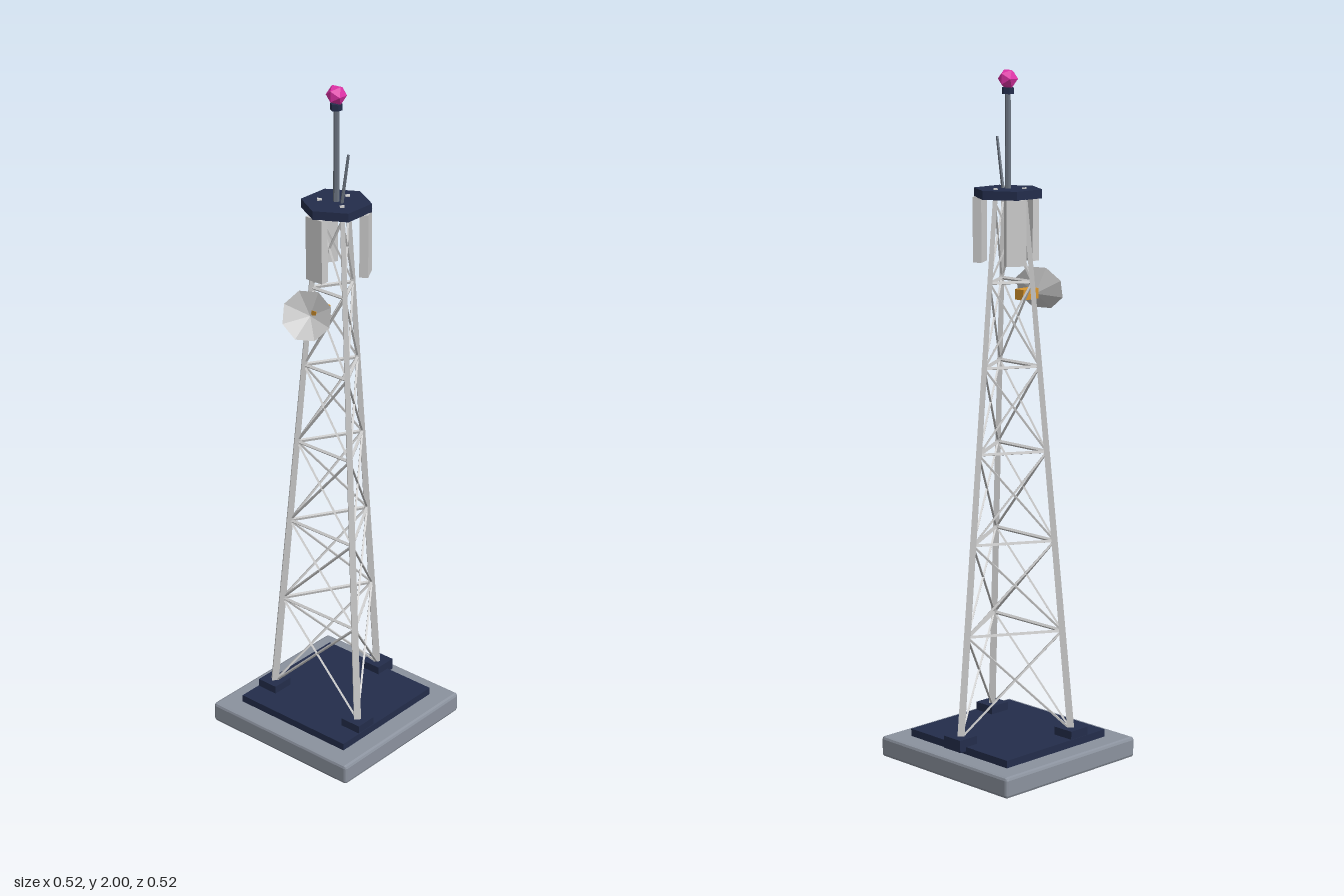
import * as THREE from 'three';
import { RoundedBoxGeometry } from 'three/addons/geometries/RoundedBoxGeometry.js';

const mat = (color, side = THREE.FrontSide) =>
  new THREE.MeshStandardMaterial({ color, flatShading: true, side });
const grey = mat(0xcccccc), navy = mat(0x232d4b), concrete = mat(0x8b929e);
const steel = mat(0x6b7480), orange = mat(0xd9962e), pink = mat(0xe032a8);
const UP = new THREE.Vector3(0, 1, 0);

export function createModel() {
  const root = new THREE.Group();

  const add = (name, geometry, material, x = 0, y = 0, z = 0, parent = root) => {
    const m = new THREE.Mesh(geometry, material);
    m.name = name;
    m.position.set(x, y, z);
    parent.add(m);
    return m;
  };
  // Straight bar between two points
  const bar = (name, a, b, r0, r1, sides, material, parent = root) => {
    const d = b.clone().sub(a);
    const mid = a.clone().add(b).multiplyScalar(0.5);
    const m = add(name, new THREE.CylinderGeometry(r1, r0, d.length(), sides), material, mid.x, mid.y, mid.z, parent);
    m.quaternion.setFromUnitVectors(UP, d.normalize());
    return m;
  };
  // Centre of a leg at a given height; leg 0 is at the back
  const legPoint = (i, y) => {
    const angle = Math.PI + (i * 2 * Math.PI) / 3;
    const r = THREE.MathUtils.mapLinear(y, 0.09, 1.67, 0.19, 0.047);
    return new THREE.Vector3(Math.sin(angle) * r, y, Math.cos(angle) * r);
  };

  // Foundation
  add('foundation', new RoundedBoxGeometry(0.524, 0.062, 0.524, 1, 0.009), concrete, 0, 0.031, 0);
  add('basePlate', new THREE.BoxGeometry(0.4, 0.025, 0.4), navy, 0, 0.0715, 0);

  // Three tapering legs on foot blocks
  for (let i = 0; i < 3; i++) {
    const foot = legPoint(i, 0.09);
    add('footBlock', new THREE.BoxGeometry(0.067, 0.036, 0.067), navy, foot.x, 0.09, foot.z);
    bar('leg', foot, legPoint(i, 1.67), 0.0145, 0.009, 4, grey);
  }

  // Lattice: horizontal rings and crossed diagonals on each face
  const lattice = new THREE.Group();
  lattice.name = 'lattice';
  root.add(lattice);
  const levels = [0.1, 0.395, 0.66, 0.92, 1.165, 1.405, 1.63];
  for (let k = 0; k < levels.length - 1; k++) {
    const y0 = levels[k], y1 = levels[k + 1];
    for (let i = 0; i < 3; i++) {
      const j = (i + 1) % 3;
      if (k > 0) bar('horizontalBrace', legPoint(i, y0), legPoint(j, y0), 0.0055, 0.0055, 4, grey, lattice);
      bar('diagonalBrace', legPoint(i, y0), legPoint(j, y1), 0.004, 0.004, 4, grey, lattice);
      bar('diagonalBrace', legPoint(j, y0), legPoint(i, y1), 0.004, 0.004, 4, grey, lattice);
    }
  }

  // Hexagonal top platform
  add('platform', new THREE.CylinderGeometry(0.099, 0.099, 0.025, 6), navy, 0, 1.654, 0);

  // Three panel antennas facing outwards
  for (let i = 0; i < 3; i++) {
    const a = (i * 2 * Math.PI) / 3;
    const p = add('panelAntenna', new THREE.BoxGeometry(0.058, 0.185, 0.025), grey,
      Math.sin(a) * 0.082, 1.55, Math.cos(a) * 0.082);
    p.rotation.y = a;
  }

  // Mast, collar and beacon
  add('mast', new THREE.CylinderGeometry(0.008, 0.009, 0.28, 6), steel, 0, 1.8, 0);
  add('beaconCollar', new THREE.CylinderGeometry(0.017, 0.017, 0.018, 6), navy, 0, 1.938, 0);
  add('beacon', new THREE.IcosahedronGeometry(0.029, 0), pink, 0, 1.971, 0);

  // Leaning whip antenna
  bar('whipAntenna', new THREE.Vector3(0.019, 1.66, 0), new THREE.Vector3(0.043, 1.81, 0), 0.005, 0.004, 5, steel);

  // Dish aimed forwards, upwards and to the model's left, on a short arm
  add('dishArm', new THREE.BoxGeometry(0.034, 0.03, 0.062), orange, 0, 1.361, 0.075);
  const aim = new THREE.Vector3(0.38, 0.4, 0.84).normalize();
  const centre = new THREE.Vector3(0.01, 1.372, 0.136).addScaledVector(aim, -0.0175);
  const dish = add('dish', new THREE.ConeGeometry(0.073, 0.035, 8, 1, true), mat(0xcccccc, THREE.DoubleSide),
    centre.x, centre.y, centre.z);
  dish.quaternion.setFromUnitVectors(UP, aim.negate());

  return root;
}
